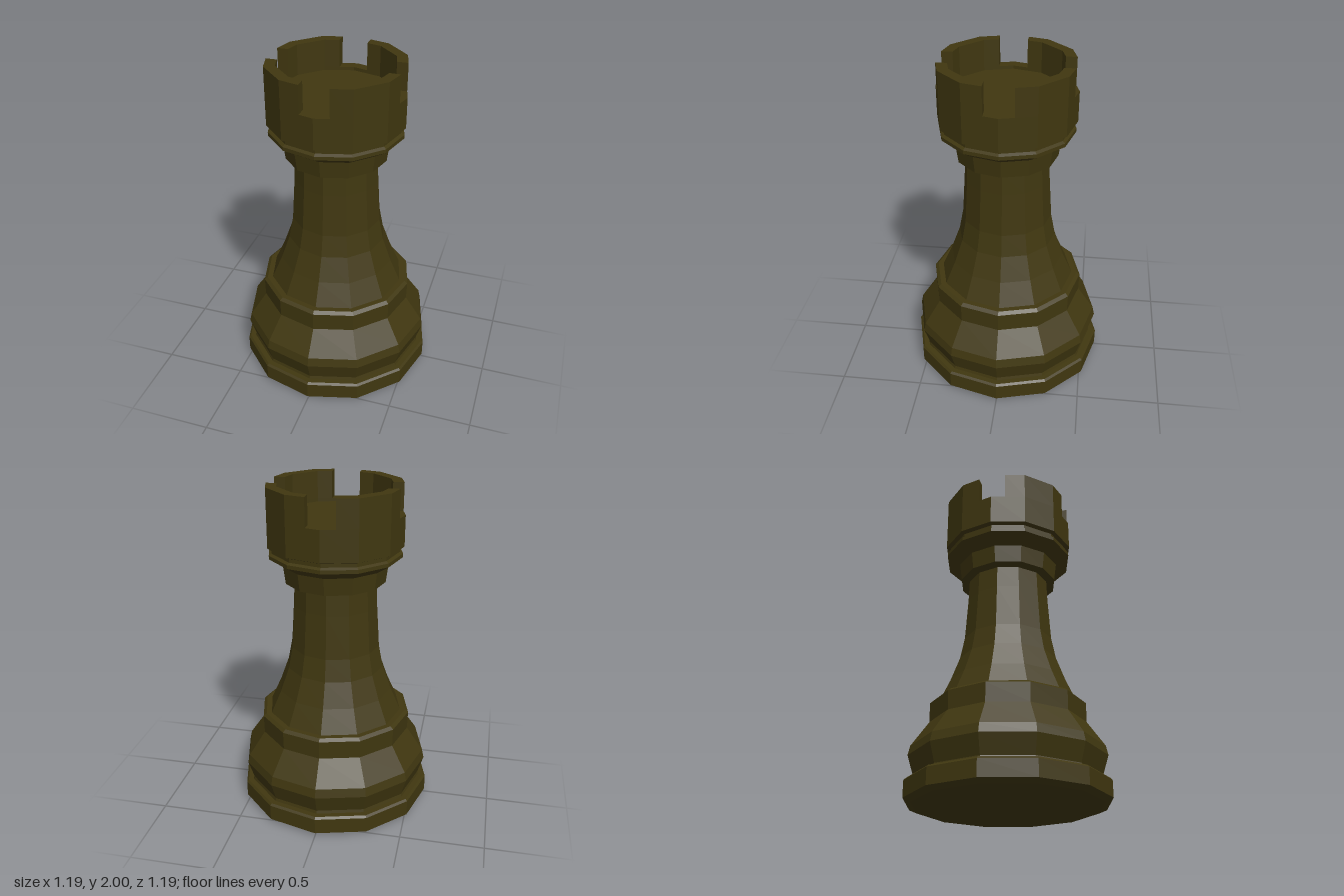
import * as THREE from 'three';

const SIDES = 12;
const RIM = 0.405, WELL = 0.34, NOTCH = 0.085;
const NOTCH_Y = 1.835, TOP_Y = 2;

const olive = new THREE.MeshStandardMaterial({ color: 0x403710 });
olive.name = 'darkOlive';

// Separate the faces so that every facet is flat
function faceted(geometry) {
  const flat = geometry.toNonIndexed();
  flat.computeVertexNormals();
  return flat;
}

// Turned section from [radius, height] pairs, listed bottom to top
function turned(name, profile) {
  const points = profile.map(([r, y]) => new THREE.Vector2(r, y));
  const mesh = new THREE.Mesh(faceted(new THREE.LatheGeometry(points, SIDES)), olive);
  mesh.name = name;
  return mesh;
}

// Cross-section of one battlement, between two notches
function battlementShape() {
  const arc = (r) => {
    const cut = r - NOTCH * Math.tan(Math.PI / 12);
    const c = r * Math.cos(Math.PI / 6), s = r * Math.sin(Math.PI / 6);
    return [[cut, NOTCH], [c, s], [s, c], [NOTCH, cut]];
  };
  const outline = [...arc(RIM), ...arc(WELL).reverse()];
  return new THREE.Shape(outline.map(([x, y]) => new THREE.Vector2(x, y)));
}

export function createModel() {
  const model = new THREE.Group();
  model.name = 'rook';

  model.add(
    turned('foot', [[0, 0], [0.55, 0], [0.595, 0.02], [0.595, 0.118], [0.583, 0.13], [0.55, 0.13]]),
    turned('baseBulge', [[0.55, 0.13], [0.545, 0.148], [0.58, 0.26], [0.568, 0.315], [0.465, 0.465]]),
    turned('baseBand', [[0.465, 0.465], [0.468, 0.578], [0.448, 0.594], [0.415, 0.594]]),
    turned('stem', [[0.415, 0.594], [0.352, 0.735], [0.298, 0.885], [0.272, 1.02], [0.255, 1.285], [0.25, 1.42]]),
    turned('neckCollar', [[0.25, 1.42], [0.302, 1.43], [0.316, 1.535], [0.398, 1.588], [0.398, 1.61], [0.38, 1.62]]),
    // Drum with a shallow well sunk into its top
    turned('towerDrum', [[0.38, 1.62], [0.38, 1.642], [RIM, 1.652], [RIM, NOTCH_Y],
      [WELL, NOTCH_Y], [WELL, 1.815], [0, 1.815]]),
  );

  // Four battlements around the rim
  const battlements = new THREE.Group();
  battlements.name = 'battlements';
  const geometry = faceted(new THREE.ExtrudeGeometry(battlementShape(), {
    depth: TOP_Y - NOTCH_Y, bevelEnabled: false,
  }).rotateX(-Math.PI / 2));
  for (let i = 0; i < 4; i++) {
    const block = new THREE.Mesh(geometry, olive);
    block.name = 'battlement' + (i + 1);
    block.position.y = NOTCH_Y;
    block.rotation.y = i * Math.PI / 2;
    battlements.add(block);
  }
  model.add(battlements);

  return model;
}
